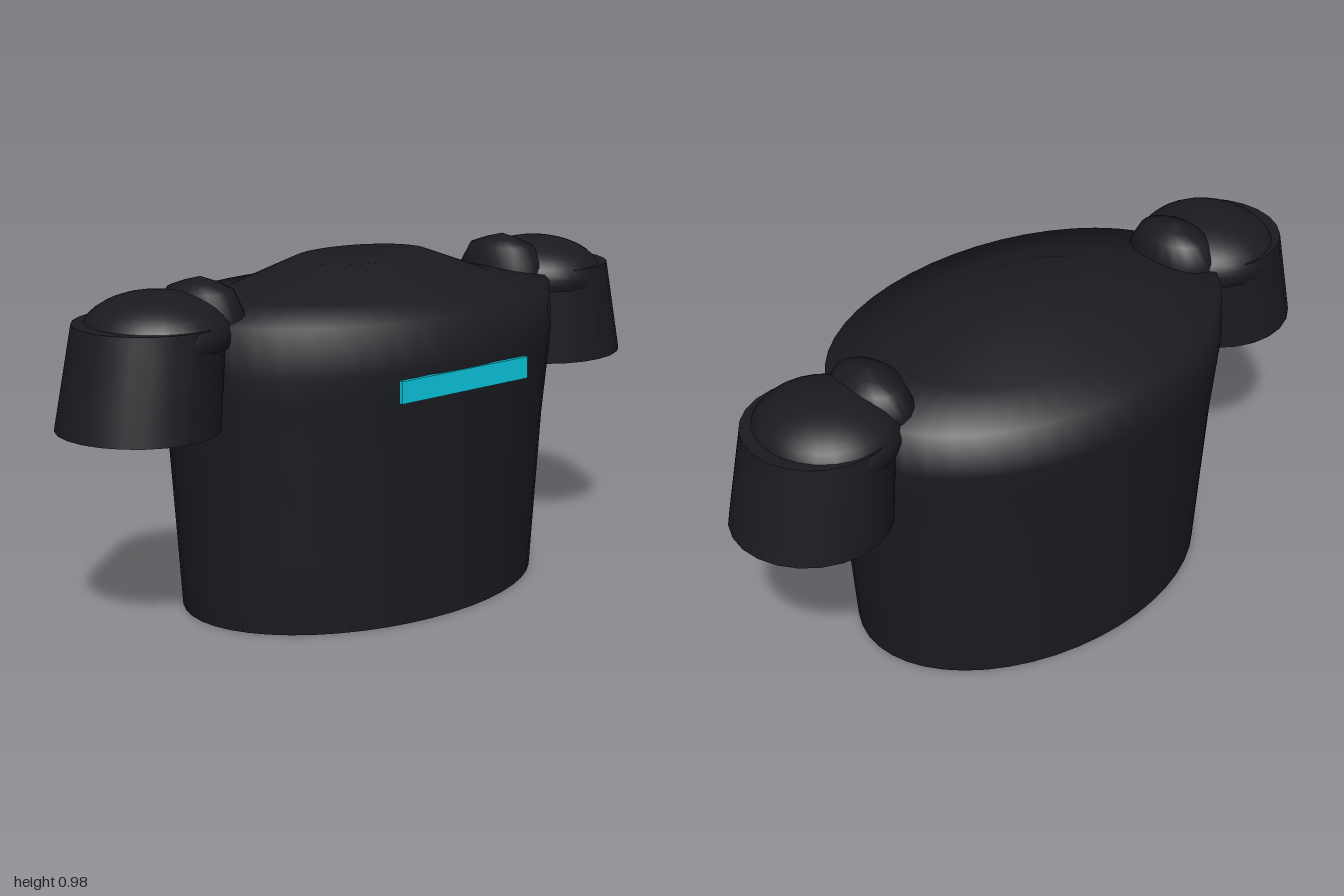
import * as THREE from 'three';

const cloth = new THREE.MeshStandardMaterial({ color: 0x1a1b20, side: THREE.DoubleSide });
const accent = new THREE.MeshStandardMaterial({ color: 0x0bc5dd });

function lathe(points, segments) {
  return new THREE.LatheGeometry(points.map(([r, y]) => new THREE.Vector2(r, y)), segments);
}

function addMesh(parent, name, geometry, material = cloth) {
  const mesh = new THREE.Mesh(geometry, material);
  mesh.name = name;
  parent.add(mesh);
  return mesh;
}

// One shoulder with its short sleeve, built on +x or mirrored to -x
function makeShoulder(side) {
  const group = new THREE.Group();
  group.name = side > 0 ? 'leftShoulder' : 'rightShoulder';

  // Flared sleeve, leaning outward towards its slightly raised cuff
  const sleeve = new THREE.CylinderGeometry(0.205, 0.222, 0.285, 24, 4);
  const p = sleeve.attributes.position;
  for (let i = 0; i < p.count; i++) {
    const down = 0.5 - p.getY(i) / 0.285;
    const x = p.getX(i);
    p.setXYZ(i, side * (x + 0.735 + 0.043 * down), p.getY(i) + 0.733 + 0.025 * x * down, p.getZ(i));
  }
  if (side < 0) {
    // Mirrored faces need their corner order reversed
    const index = sleeve.index;
    for (let i = 0; i < index.count; i += 3) {
      const a = index.getX(i);
      index.setX(i, index.getX(i + 1));
      index.setX(i + 1, a);
    }
  }
  sleeve.computeVertexNormals();
  addMesh(group, 'sleeve', sleeve);

  // Flattened dome over the sleeve
  const dome = addMesh(group, 'shoulderDome', new THREE.SphereGeometry(1, 24, 12, 0, Math.PI * 2, 0, Math.PI * 0.58));
  dome.scale.set(0.2, 0.115, 0.21);
  dome.position.set(side * 0.712, 0.84, 0);

  // Low peaked pad joining the dome to the torso
  const pad = addMesh(group, 'shoulderPad', lathe([[0.1, 0.8], [0.1, 0.885], [0.077, 0.943], [0.04, 0.962], [0, 0.977]], 20));
  pad.scale.z = 1.45;
  pad.position.x = side * 0.566;
  return group;
}

export function createModel() {
  const model = new THREE.Group();
  model.name = 'shirt';

  // Elliptical torso with sloping shoulders and a flat closed neck
  const torso = addMesh(model, 'torso', lathe([
    [0, 0], [0.4, 0], [0.4, 0], [0.409, 0.2], [0.422, 0.48], [0.435, 0.66], [0.44, 0.73],
    [0.435, 0.865], [0.3, 0.895], [0.15, 0.974], [0, 0.974],
  ], 48));
  torso.scale.x = 1.46;

  // Bright chest stripe
  const stripe = addMesh(model, 'chestStripe', new THREE.BoxGeometry(0.47, 0.062, 0.013), accent);
  stripe.position.set(0, 0.684, 0.437);

  model.add(makeShoulder(1), makeShoulder(-1));
  return model;
}
